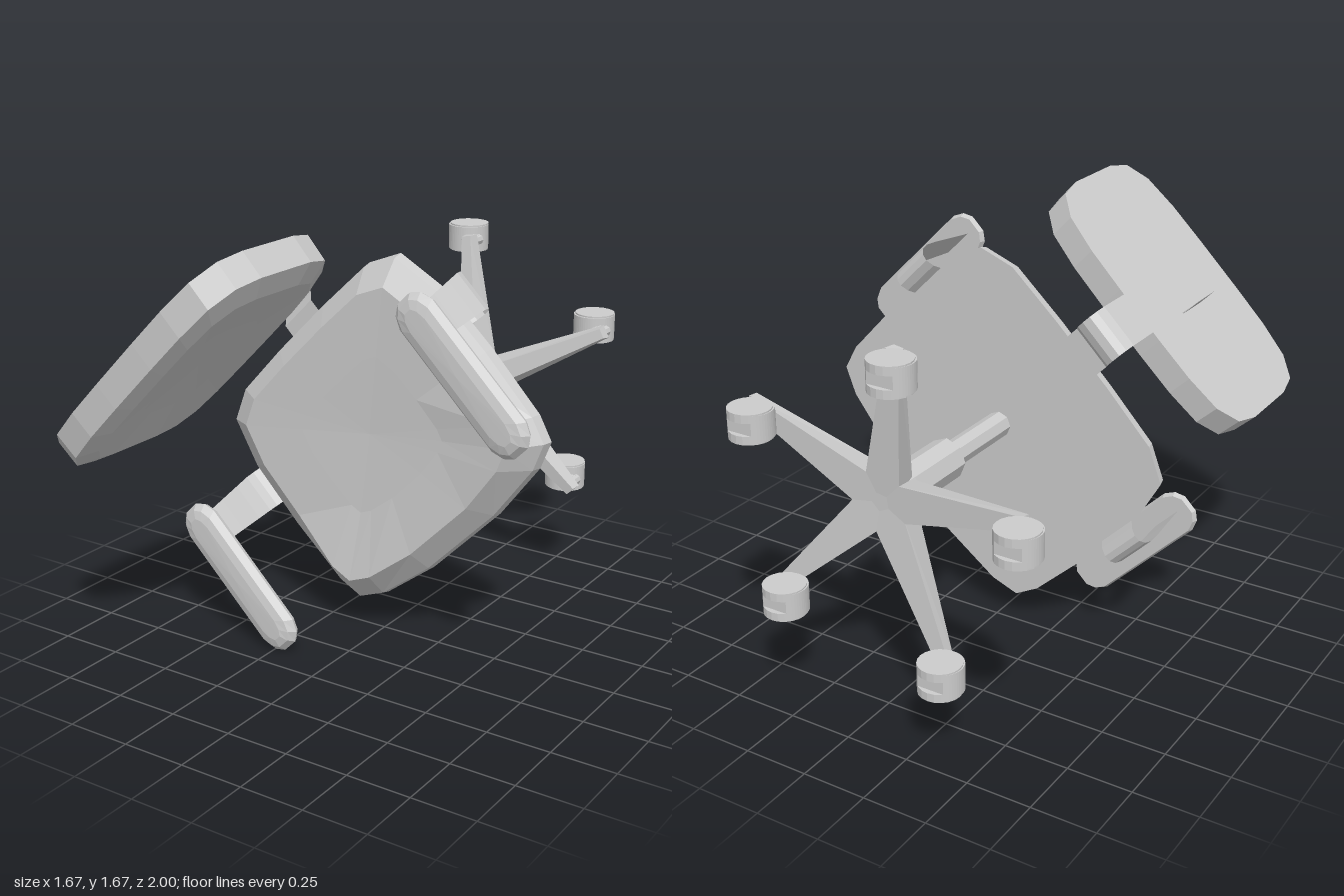
import * as THREE from 'three';

const grey = new THREE.MeshStandardMaterial({ color: 0xcccccc, flatShading: true });
const thin = new THREE.MeshStandardMaterial({ color: 0xcccccc, flatShading: true, side: THREE.DoubleSide });

function add(parent, name, geometry, material = grey) {
  const mesh = new THREE.Mesh(geometry, material);
  mesh.name = name;
  parent.add(mesh);
  return mesh;
}

// Closed solid through equal-sized rings of [x, y, z], stacked along +z
function loft(rings, topZ) {
  const n = rings[0].length;
  const pos = rings.flat(2);
  const index = [];
  rings.slice(1).forEach((_, r) => {
    for (let i = 0; i < n; i++) {
      const a = r * n + i, b = r * n + (i + 1) % n;
      index.push(a, b, b + n, a, b + n, a + n);
    }
  });
  const bottom = pos.length / 3, top = bottom + 1, last = (rings.length - 1) * n;
  pos.push(0, 0, rings[0][0][2], 0, 0, topZ);
  for (let i = 0; i < n; i++) {
    const j = (i + 1) % n;
    index.push(bottom, j, i, top, last + i, last + j);
  }
  const g = new THREE.BufferGeometry();
  g.setAttribute('position', new THREE.Float32BufferAttribute(pos, 3));
  g.setIndex(index);
  const flat = g.toNonIndexed();
  flat.computeVertexNormals();
  return flat;
}

// Mirror a right-hand outline (listed bottom to top) into a full loop
const mirrorX = half => [...half, ...half.map(([x, y]) => [-x, y]).reverse()];
const ring = (outline, s, z) =>
  outline.map(([x, y]) => [x * s, y * s, typeof z === 'function' ? z(x, y) : z]);

// Thin ribbon following (a, z) points; place() turns (a, z, side) into a position
function ribbon(path, place) {
  const pos = [], index = [];
  path.forEach(([a, z], i) => {
    pos.push(...place(a, z, -1), ...place(a, z, 1));
    if (i) index.push(2 * i - 2, 2 * i - 1, 2 * i + 1, 2 * i - 2, 2 * i + 1, 2 * i);
  });
  const g = new THREE.BufferGeometry();
  g.setAttribute('position', new THREE.Float32BufferAttribute(pos, 3));
  g.setIndex(index);
  g.computeVertexNormals();
  return g;
}

// Cylinder along z between two heights
function zCylinder(radius, z0, z1, sides) {
  return new THREE.CylinderGeometry(radius, radius, z1 - z0, sides)
    .rotateX(Math.PI / 2).translate(0, 0, (z0 + z1) / 2);
}

function makeCaster() {
  const caster = new THREE.Group();
  caster.name = 'caster';
  add(caster, 'casterPost', zCylinder(0.022, -0.87, -0.78, 8));
  add(caster, 'casterAxle', new THREE.CylinderGeometry(0.022, 0.022, 0.08, 8)
    .rotateZ(Math.PI / 2).translate(-0.035, 0, -0.855));
  const cover = new THREE.Shape();
  cover.absarc(0, 0, 0.083, -0.9, Math.PI + 0.9, false);
  add(caster, 'casterHood', new THREE.ExtrudeGeometry(cover,
    { depth: 0.1, bevelEnabled: false, curveSegments: 20 })
    .rotateX(Math.PI / 2).translate(-0.075, 0.05, -0.915));
  for (const side of [-1, 1]) {
    add(caster, 'casterWheel', new THREE.CylinderGeometry(0.08, 0.08, 0.032, 20)
      .translate(-0.075, side * 0.04, -0.92));
  }
  return caster;
}

export function createModel() {
  const model = new THREE.Group();
  model.name = 'officeChair';
  // Chair frame: x across the seat, +y toward the backrest, +z up from the seat
  const chair = new THREE.Group();
  chair.name = 'chair';
  chair.position.set(-0.01, 0.85, 0);
  chair.rotation.z = Math.PI / 4;
  model.add(chair);

  // Seat cushion: flat below, dished on top with a raised front edge
  const seat = mirrorX([[0.2, -0.537], [0.46, -0.5], [0.566, -0.453], [0.597, -0.35],
    [0.608, -0.06], [0.6, 0.23], [0.544, 0.43], [0.41, 0.49], [0.15, 0.5]]);
  const rim = (x, y) => 0.105 + (y < -0.3 ? 0.03 * Math.min(1, Math.abs(x) / 0.5) : 0);
  add(chair, 'seat', loft([
    ring(seat, 1, 0), ring(seat, 0.985, 0.04), ring(seat, 0.84, rim), ring(seat, 0.45, 0.1),
  ], 0.09));

  // Backrest cushion
  const back = mirrorX([[0.12, -0.35], [0.3, -0.345], [0.45, -0.32], [0.54, -0.25], [0.566, -0.14],
    [0.566, 0.14], [0.54, 0.25], [0.45, 0.32], [0.3, 0.345], [0.12, 0.35]]);
  const backrest = add(chair, 'backrest', loft([
    ring(back, 1, 0), ring(back, 0.99, 0.11), ring(back, 0.84, 0.14), ring(back, 0.45, 0.12),
  ], 0.11));
  backrest.rotation.x = Math.PI / 2;
  backrest.position.set(0, 0.608, 0.65);

  // Backrest strap and the block that joins it to the cushion
  add(chair, 'backStrap', ribbon([[0.69, 0.71], [0.69, 0.02], [0.678, -0.02], [0.655, -0.042],
    [0.62, -0.046], [0.585, -0.035], [0.555, -0.004], [0.2, -0.004]],
  (a, z, s) => [s * 0.087, a, z]), thin);
  add(chair, 'backBlock', new THREE.BoxGeometry(0.174, 0.086, 0.16).translate(0, 0.646, 0.63));

  // Arm pads and straps
  const pad = mirrorX([[0.035, -0.33], [0.07, -0.305], [0.09, -0.26], [0.09, 0.26],
    [0.07, 0.305], [0.035, 0.33]]);
  const inset = (d, z) => pad.map(([x, y]) =>
    [x * (1 - d / 0.09), y * (1 - d / 0.33), z]);
  for (const side of [-1, 1]) {
    const armPad = add(chair, 'armPad', loft([
      inset(0.008, 0.37), inset(0, 0.39), inset(0.02, 0.415), inset(0.05, 0.424)], 0.426));
    armPad.position.set(side * 0.69, -0.12, 0);
    add(chair, 'armStrap', ribbon([[0.685, 0.372], [0.69, 0.22], [0.695, 0.1], [0.695, 0.02],
      [0.685, -0.02], [0.665, -0.042], [0.64, -0.046], [0.61, -0.03], [0.59, -0.004], [0, -0.004]],
    (a, z, s) => [side * a, 0.145 - 0.15 * Math.max(0, z) + s * (0.085 - 0.05 * Math.max(0, z)), z]), thin);
  }

  // Gas column
  add(chair, 'upperColumn', zCylinder(0.05, -0.37, 0, 8));
  add(chair, 'lowerColumn', zCylinder(0.08, -0.67, -0.36, 8));

  // Five-legged base with casters all swivelled the same way
  add(chair, 'hub', zCylinder(0.085, -0.775, -0.65, 10));
  const { lerp } = THREE.MathUtils;
  for (let k = 0; k < 5; k++) {
    const angle = -Math.PI / 2 + k * Math.PI * 2 / 5;
    const leg = new THREE.BoxGeometry(1, 1, 1);
    const p = leg.attributes.position;
    for (let i = 0; i < p.count; i++) {
      const t = p.getX(i) + 0.5, up = p.getZ(i) > 0;
      p.setXYZ(i, lerp(0.03, 0.6, t), Math.sign(p.getY(i)) * lerp(up ? 0.045 : 0.075, up ? 0.02 : 0.027, t),
        up ? lerp(-0.65, -0.772, t) : lerp(-0.775, -0.815, t));
    }
    leg.computeVertexNormals();
    add(chair, 'baseLeg', leg).rotation.z = angle;
    const caster = makeCaster();
    caster.position.set(Math.cos(angle) * 0.57, Math.sin(angle) * 0.57, 0);
    caster.rotation.z = -Math.PI / 4;
    chair.add(caster);
  }
  return model;
}
